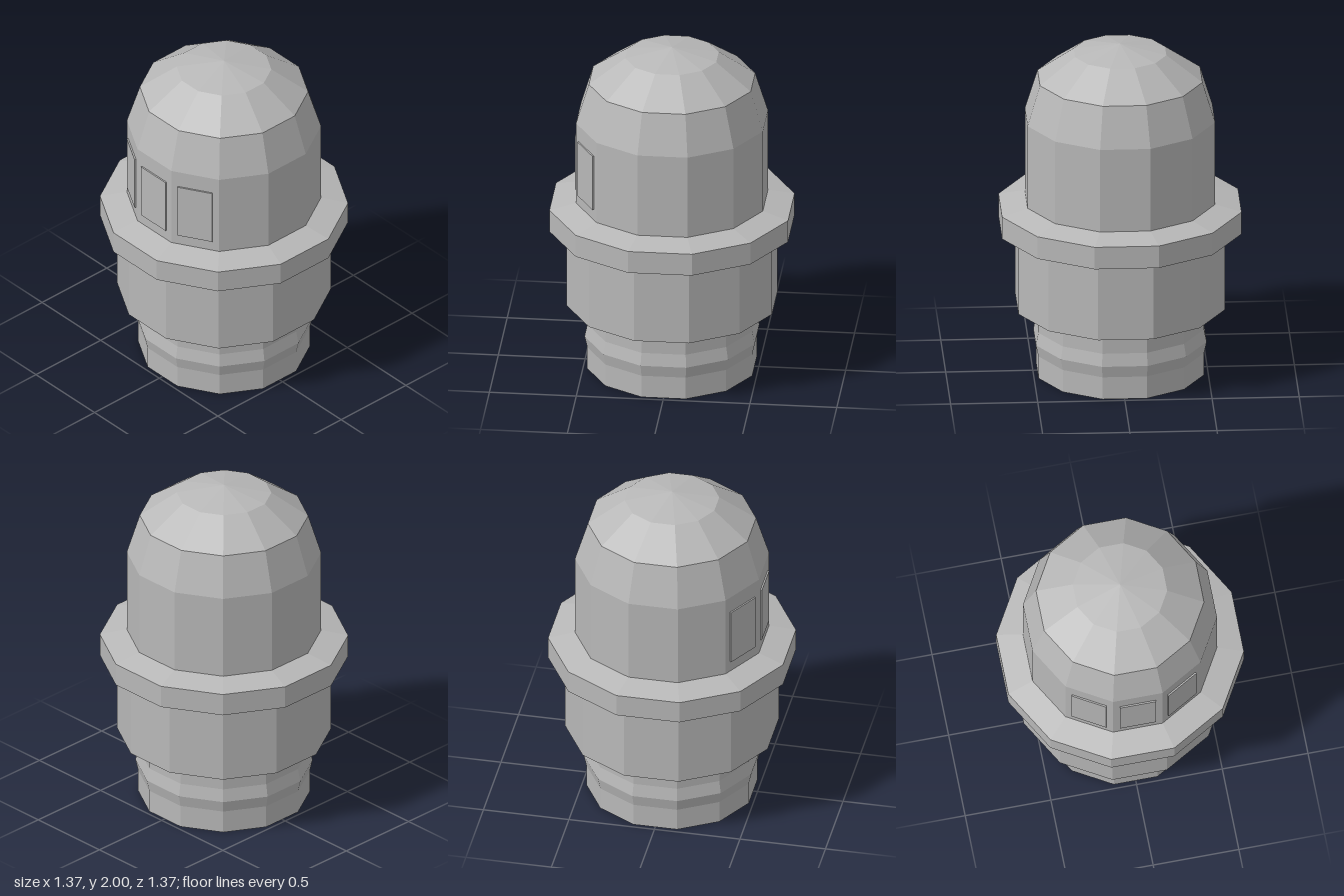
import * as THREE from 'three';

const SIDES = 12;
const STEP = (Math.PI * 2) / SIDES;

// Faceted ring from [flat-to-flat half width, height] pairs, bottom to top,
// with a flat side facing the front.
function facetedRing(name, profile, material) {
  const points = profile.map(([r, y]) => new THREE.Vector2(r / Math.cos(STEP / 2), y));
  const geometry = new THREE.LatheGeometry(points, SIDES, STEP / 2).toNonIndexed();
  geometry.computeVertexNormals();
  const mesh = new THREE.Mesh(geometry, material);
  mesh.name = name;
  return mesh;
}

export function createModel() {
  const model = new THREE.Group();
  model.name = 'domedCapsule';
  const grey = new THREE.MeshStandardMaterial({ color: 0xb8b8b8 });
  grey.name = 'plain grey';

  // Foot with a shallow raised ridge
  model.add(facetedRing('foot', [
    [0, 0], [0.475, 0], [0.475, 0.135], [0.49, 0.205], [0.475, 0.28], [0.475, 0.375],
  ], grey));

  // Main body with a sloped underside
  model.add(facetedRing('body', [
    [0.475, 0.375], [0.592, 0.41], [0.592, 0.85],
  ], grey));

  // Wide collar, bevelled above and below
  model.add(facetedRing('collar', [
    [0.592, 0.85], [0.687, 0.885], [0.687, 1.02], [0.538, 1.055],
  ], grey));

  // Upper shell closing in a dome
  model.add(facetedRing('dome', [
    [0.538, 1.055], [0.538, 1.56], [0.466, 1.8], [0.262, 1.95], [0, 2],
  ], grey));

  // Thin panels on the three front facets
  for (const i of [-1, 0, 1]) {
    const panel = new THREE.Mesh(new THREE.BoxGeometry(0.21, 0.34, 0.009), grey);
    panel.name = 'frontPanel';
    const angle = i * STEP;
    panel.position.set(Math.sin(angle) * 0.5425, 1.29, Math.cos(angle) * 0.5425);
    panel.rotation.y = angle;
    model.add(panel);
  }

  return model;
}
